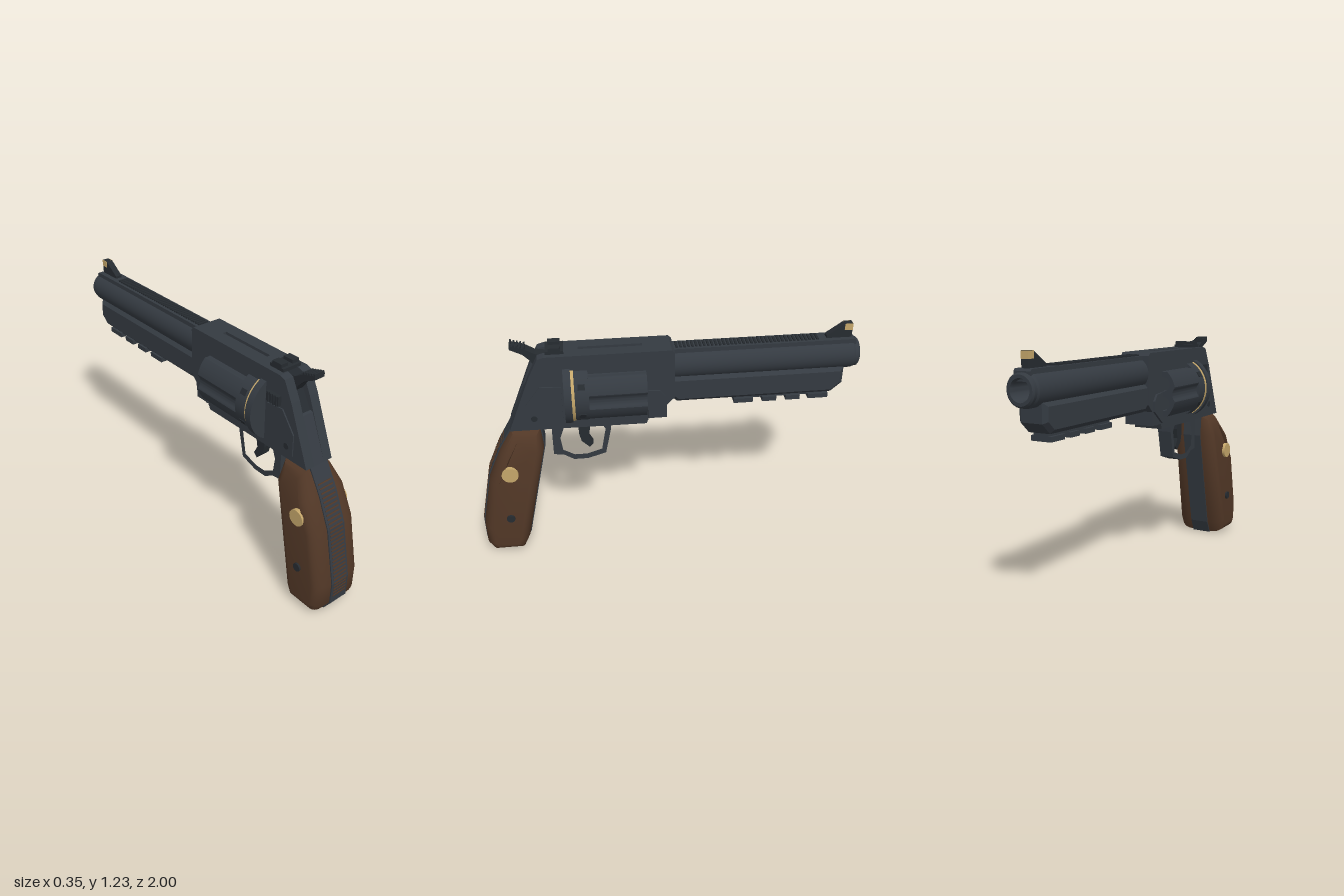
import * as THREE from 'three';
import { toCreasedNormals } from 'three/addons/utils/BufferGeometryUtils.js';

const mat = (name, color) => {
  const m = new THREE.MeshStandardMaterial({ color });
  m.name = name;
  return m;
};

export function createModel() {
  const model = new THREE.Group();
  const steel = mat('gunmetal', 0x343a41);
  const dark = mat('dark steel', 0x262b30);
  const wood = mat('walnut', 0x513726);
  const brass = mat('brass', 0xc4a66a);

  const add = (name, geo, material, x = 0, y = 0, z = 0) => {
    const mesh = new THREE.Mesh(geo, material);
    mesh.name = name;
    mesh.position.set(x, y, z);
    model.add(mesh);
    return mesh;
  };
  const box = (name, m, w, h, d, x, y, z) => add(name, new THREE.BoxGeometry(w, h, d), m, x, y, z);
  const outline = (pts) => new THREE.Shape(pts.map((p) => new THREE.Vector2(...p)));
  // Side profile in (z, y), extruded across x from x0 to x1
  const plate = (name, m, pts, x0, x1, holes = [], bevel = 0) => {
    const s = outline(pts);
    holes.forEach((h) => s.holes.push(outline(h)));
    const g = new THREE.ExtrudeGeometry(s, {
      depth: x1 - x0 - 2 * bevel, bevelEnabled: bevel > 0,
      bevelSize: bevel, bevelThickness: bevel, bevelOffset: -bevel, bevelSegments: 1,
    });
    g.rotateY(-Math.PI / 2).translate(x1 - bevel, 0, 0);
    return add(name, g, m);
  };
  // Cylinder along z, from z0 to z1
  const rod = (name, m, r, z0, z1, y, seg = 48) => add(name,
    new THREE.CylinderGeometry(r, r, z1 - z0, seg).rotateX(Math.PI / 2), m, 0, y, (z0 + z1) / 2);
  // Cylinder along x
  const stud = (name, m, r, x0, x1, y, z, seg = 24) => add(name,
    new THREE.CylinderGeometry(r, r, Math.abs(x1 - x0), seg).rotateZ(Math.PI / 2), m, (x0 + x1) / 2, y, z);

  // Frame in layers, leaving a top groove and a hammer slot
  const windowHole = [[0.09, 0.775], [0.475, 0.775], [0.475, 1.125], [0.09, 1.125]];
  const frame = (slot, groove) => [
    [-0.005, 0.785], [-0.005, 0.86], [-0.045, 0.9], [-0.045, 1.155], [-0.03, 1.17],
    ...(groove ? [[0.11, 1.17], [0.11, 1.155], [0.43, 1.155], [0.43, 1.17]] : []),
    ...(slot ? [[0.54, 1.17], [0.56, 1.02], [0.705, 0.985]] : [[0.6, 1.17], [0.63, 1.16], [0.68, 1.06]]),
    [0.8, 0.76], [0.1, 0.755], [0.09, 0.785],
  ];
  plate('frameCore', steel, frame(true, true), -0.012, 0.012, [windowHole]);
  for (const s of [-1, 1]) {
    const span = (a, b) => (s > 0 ? [a, b] : [-b, -a]);
    plate('frameInner', steel, frame(true, false), ...span(0.012, 0.032), [windowHole]);
    plate('frameSide', steel, frame(false, false), ...span(0.032, 0.083), [windowHole]);
    plate('sidePlate', steel, [[0.71, 0.79], [0.525, 0.79], [0.525, 1.0], [0.63, 1.01], [0.71, 0.905]],
      ...span(0.08, 0.09));
    plate('cranePlate', steel, [[0.09, 0.79], [0.09, 0.955], [0.03, 0.95], [0.003, 0.915], [0.003, 0.86]],
      ...span(0.08, 0.095));
    stud('frameScrew', dark, 0.016, s * 0.08, s * 0.093, 0.83, 0.67);
  }

  // Cylinder release latch
  box('latch', dark, 0.02, 0.05, 0.08, -0.093, 1.045, 0.575);
  for (let i = 0; i < 4; i++) box('latchRidge', dark, 0.006, 0.05, 0.008, -0.105, 1.045, 0.55 + i * 0.018);

  // Fluted drum with six chambers
  const drumY = 0.945, R = 0.165, profile = [];
  for (let i = 0; i < 180; i++) {
    const a = (i / 180) * Math.PI * 2;
    const d = a - Math.round(a / (Math.PI / 3)) * (Math.PI / 3);
    const q = 0.05 ** 2 - (0.195 * Math.sin(d)) ** 2;
    const r = q > 0 ? Math.min(R, 0.195 * Math.cos(d) - Math.sqrt(q)) : R;
    profile.push([r * Math.cos(a), r * Math.sin(a)]);
  }
  const drum = outline(profile);
  for (let i = 0; i < 6; i++) {
    const a = ((i + 0.5) * Math.PI) / 3;
    const hole = new THREE.Path();
    hole.absarc(0.105 * Math.cos(a), 0.105 * Math.sin(a), 0.038, 0, Math.PI * 2, true);
    drum.holes.push(hole);
    const notch = box('drumNotch', dark, 0.006, 0.03, 0.035, R * Math.cos(a), drumY + R * Math.sin(a), 0.425);
    notch.rotation.z = a;
  }
  add('flutedDrum', toCreasedNormals(new THREE.ExtrudeGeometry(drum,
    { depth: 0.29, bevelEnabled: false, curveSegments: 16 }), 0.5), steel, 0, drumY, 0.1);
  rod('drumRear', steel, R, 0.39, 0.46, drumY);
  rod('drumRing', brass, 0.168, 0.46, 0.475, drumY);
  rod('recoilShield', steel, 0.177, 0.475, 0.512, drumY);
  rod('drumAxle', dark, 0.03, 0.07, 0.48, drumY, 20);

  // Barrel with a hollow bore
  const barrelProfile = [[0.082, 0.03], [0.082, 0.965], [0.076, 0.975], [0.076, 0.992], [0.068, 1.0],
    [0.053, 1.0], [0.047, 0.985], [0.047, 0.7], [0, 0.7]].map((p) => new THREE.Vector2(...p));
  add('barrel', toCreasedNormals(new THREE.LatheGeometry(barrelProfile, 40).rotateX(-Math.PI / 2), 0.5),
    steel, 0, 1.064, 0);
  plate('underlug', steel, [[-0.02, 1.01], [-0.02, 0.9], [-0.06, 0.865], [-0.87, 0.865], [-0.925, 0.915],
    [-0.925, 1.01]], -0.078, 0.078, [], 0.02);
  plate('topRib', steel, [[-0.04, 1.1], [-0.04, 1.155], [-0.97, 1.155], [-0.98, 1.145], [-0.98, 1.1]], -0.045, 0.045);
  for (let i = 0; i < 37; i++) box('ribSerration', dark, 0.06, 0.01, 0.011, 0, 1.158, -0.06 - i * 0.02);

  // Accessory rail
  box('railBase', steel, 0.08, 0.025, 0.5, 0, 0.857, -0.61);
  for (const [a, b] of [[0.36, 0.46], [0.51, 0.585], [0.635, 0.71], [0.755, 0.86]])
    box('railBlock', steel, 0.11, 0.025, b - a, 0, 0.838, -(a + b) / 2);

  // Sights
  plate('frontSight', dark, [[-0.83, 1.15], [-0.83, 1.168], [-0.92, 1.23], [-0.96, 1.23], [-0.96, 1.15]], -0.018, 0.018);
  box('frontSightInsert', brass, 0.04, 0.035, 0.042, 0, 1.212, -0.94);
  box('rearSightBase', dark, 0.11, 0.018, 0.09, 0, 1.177, 0.545);
  for (const s of [-1, 1]) box('rearSightBlade', dark, 0.04, 0.03, 0.06, s * 0.035, 1.188, 0.545);

  // Hammer with a ridged spur
  plate('hammer', dark, [[0.55, 1.15], [0.56, 1.02], [0.69, 0.988], [0.635, 1.085], [0.665, 1.13], [0.7, 1.165],
    [0.76, 1.195], [0.76, 1.215], [0.69, 1.195], [0.64, 1.165]], -0.03, 0.03);
  for (let i = 0; i < 5; i++)
    box('spurRidge', dark, 0.06, 0.016, 0.008, 0, 1.215 - i * 0.0045, 0.754 - i * 0.016);

  // Trigger guard and trigger
  plate('triggerGuard', steel, [[0.59, 0.76], [0.59, 0.57], [0.54, 0.565], [0.485, 0.53], [0.41, 0.53],
    [0.315, 0.56], [0.283, 0.71], [0.283, 0.76]], -0.04, 0.04,
  [[[0.525, 0.74], [0.55, 0.67], [0.54, 0.595], [0.48, 0.56], [0.415, 0.56], [0.335, 0.585],
    [0.312, 0.71], [0.33, 0.742]]]);
  plate('trigger', dark, [[0.45, 0.77], [0.4, 0.77], [0.392, 0.71], [0.402, 0.655], [0.378, 0.61],
    [0.4, 0.59], [0.44, 0.63], [0.452, 0.68]], -0.022, 0.022);

  // Grip: metal strap between rounded wooden scales
  const grip = [[0.8, 0.76], [0.64, 0.76], [0.63, 0.64], [0.752, 0.075], [0.785, 0.003], [0.96, 0.003],
    [0.998, 0.06], [1.0, 0.185], [0.94, 0.48], [0.87, 0.64]];
  plate('gripStrap', steel, grip, -0.055, 0.055);
  const half = 0.145, round = 0.075;
  const scales = new THREE.ExtrudeGeometry(outline(grip), {
    depth: 2 * (half - round), bevelThickness: round, bevelSize: 0.05, bevelOffset: -0.056, bevelSegments: 8,
  }).rotateY(-Math.PI / 2).translate(half - round, 0, 0);
  const pos = scales.attributes.position;
  for (let i = 0; i < pos.count; i++) { // narrow toward the frame
    const t = THREE.MathUtils.clamp((pos.getY(i) - 0.6) / 0.155, 0, 1);
    pos.setX(i, pos.getX(i) * (1 - 0.4 * t));
  }
  add('gripScales', toCreasedNormals(scales, 0.6), wood);
  for (const s of [-1, 1]) {
    stud('medallion', brass, 0.043, s * 0.13, s * 0.151, 0.53, 0.82);
    stud('gripScrew', dark, 0.022, s * 0.13, s * 0.15, 0.24, 0.845);
  }

  // Backstrap grooves
  const back = [[0.835, 0.7], [0.87, 0.64], [0.94, 0.48], [1.0, 0.185], [0.998, 0.06]];
  for (let i = 0; i < 30; i++) {
    const y = 0.105 + i * 0.02;
    const k = back.findIndex((p, j) => j > 0 && y >= p[1]);
    const [a, b] = [back[k - 1], back[k]];
    const z = a[0] + ((b[0] - a[0]) * (a[1] - y)) / (a[1] - b[1]);
    const g = box('backstrapGroove', wood, 0.085, 0.007, 0.006, 0, y, z);
    g.rotation.x = -Math.atan2(b[0] - a[0], a[1] - b[1]);
  }
  return model;
}
